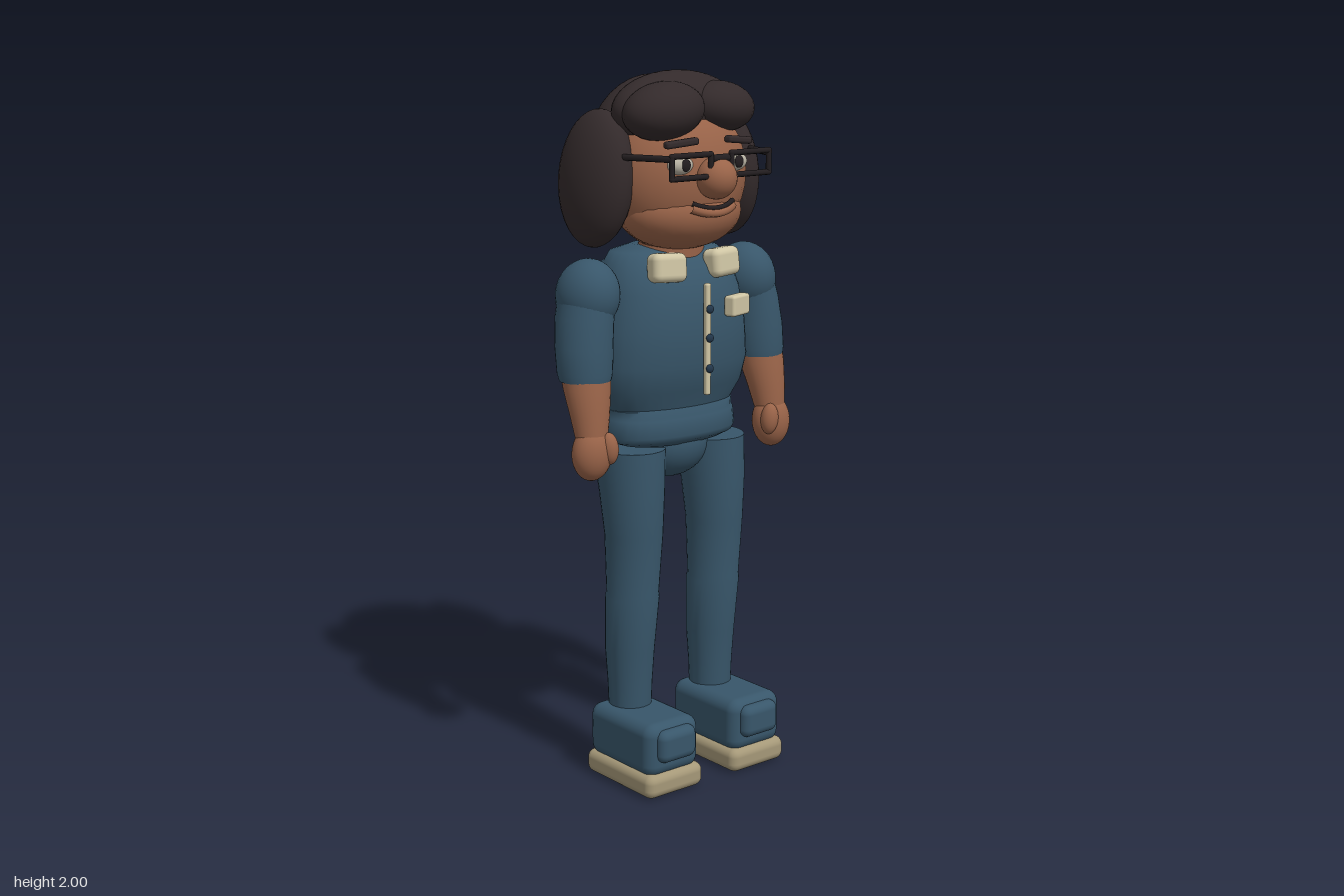
import * as THREE from 'three';
import { toCreasedNormals } from 'three/addons/utils/BufferGeometryUtils.js';
import { RoundedBoxGeometry } from 'three/addons/geometries/RoundedBoxGeometry.js';

const material = (name, color) => {
  const m = new THREE.MeshStandardMaterial({ color });
  m.name = name;
  return m;
};

export function createModel() {
  const root = new THREE.Group();
  root.name = 'standingMan';
  const skin = material('skin', 0x9a6449);
  const hair = material('hair', 0x332a2b);
  const cloth = material('blueCloth', 0x38566a);
  const cream = material('creamTrim', 0xcfc5a4);
  const sole = material('soleTan', 0xa59878);
  const frame = material('glassesBlack', 0x231e20);
  const button = material('darkBlueButton', 0x22364a);
  const eye = material('eyeGrey', 0xb9b3a4);

  const add = (name, geometry, mat, pos = [0, 0, 0], rot = [0, 0, 0], parent = root) => {
    const mesh = new THREE.Mesh(geometry, mat);
    mesh.name = name;
    mesh.position.set(...pos);
    mesh.rotation.set(...rot);
    parent.add(mesh);
    return mesh;
  };
  const ball = (name, mat, pos, radii, rot, parent) =>
    add(name, new THREE.SphereGeometry(1, 28, 18).scale(...radii), mat, pos, rot, parent);
  const block = (name, mat, pos, size, radius, rot, parent) =>
    add(name, new RoundedBoxGeometry(...size, 3, radius), mat, pos, rot, parent);
  const rod = (name, mat, a, b, radius, parent) => {
    const line = new THREE.LineCurve3(new THREE.Vector3(...a), new THREE.Vector3(...b));
    return add(name, new THREE.TubeGeometry(line, 1, radius, 8), mat, [0, 0, 0], [0, 0, 0], parent);
  };

  // Capped tube through oval sections, listed top to bottom: [y, centreX, centreZ, radiusX, radiusZ]
  const loft = (name, mat, sections, power = 1, parent = root) => {
    const rows = sections.length - 1;
    const g = new THREE.CylinderGeometry(1, 1, 1, 28, rows);
    const p = g.attributes.position;
    const round = (v) => Math.sign(v) * Math.abs(v) ** power;
    for (let i = 0; i < p.count; i++) {
      const [y, cx, cz, rx, rz] = sections[Math.round((0.5 - p.getY(i)) * rows)];
      p.setXYZ(i, cx + round(p.getX(i)) * rx, y, cz + round(p.getZ(i)) * rz);
    }
    return add(name, toCreasedNormals(g, 0.9), mat, undefined, undefined, parent);
  };

  // Shirt, with a padded yoke over the shoulder blades
  loft('shirt', cloth, [
    [1.525, 0, -0.04, 0.1, 0.07], [1.51, 0, -0.04, 0.17, 0.1], [1.47, 0, -0.03, 0.2, 0.125],
    [1.4, 0, -0.018, 0.218, 0.147], [1.3, 0, -0.014, 0.237, 0.152], [1.2, 0, -0.012, 0.246, 0.148],
    [1.13, 0, -0.015, 0.235, 0.13], [1.08, 0, -0.018, 0.205, 0.11], [1.04, 0, -0.018, 0.18, 0.1],
  ], 0.9);
  ball('backYoke', cloth, [0, 1.435, -0.07], [0.215, 0.085, 0.105]);
  loft('neck', skin, [[1.6, 0, 0, 0.09, 0.08], [1.49, 0, -0.01, 0.1, 0.085]]);
  block('placket', cream, [0, 1.275, 0.149], [0.018, 0.31, 0.018], 0.006);
  for (const y of [1.36, 1.28, 1.195]) ball('button', button, [0, y, 0.161], [0.012, 0.012, 0.008]);
  block('chestPocket', cream, [0.12, 1.357, 0.135], [0.085, 0.058, 0.035], 0.008, [0, 0.3, 0]);

  // Waistband and pelvis
  loft('waistband', cloth, [
    [1.09, 0, -0.018, 0.18, 0.1], [1.075, 0, -0.018, 0.203, 0.112], [1.055, 0, -0.018, 0.202, 0.112],
    [1.048, 0, -0.018, 0.207, 0.116], [1.0, 0, -0.018, 0.212, 0.12], [0.985, 0, -0.018, 0.205, 0.114],
    [0.972, 0, -0.018, 0.17, 0.095],
  ], 0.85);
  ball('pelvis', cloth, [0, 0.965, -0.025], [0.125, 0.107, 0.108]);

  // Mirrored limbs, shoes and collar
  for (const s of [-1, 1]) {
    const side = new THREE.Group();
    side.name = s > 0 ? 'leftSide' : 'rightSide';
    root.add(side);
    const mx = (rows) => rows.map(([y, x, ...rest]) => [y, s * x, ...rest]);

    loft('trouserLeg', cloth, mx([
      [0.965, 0.145, -0.018, 0.098, 0.113], [0.85, 0.148, 0.0, 0.09, 0.098], [0.72, 0.148, 0.008, 0.081, 0.086],
      [0.55, 0.149, 0.003, 0.073, 0.077], [0.535, 0.149, 0.001, 0.076, 0.08], [0.38, 0.15, -0.01, 0.069, 0.074],
      [0.28, 0.15, -0.01, 0.063, 0.066], [0.17, 0.15, -0.01, 0.06, 0.06],
    ]), 1, side);
    block('shoe', cloth, [s * 0.154, 0.138, 0.058], [0.186, 0.155, 0.285], 0.035, [0, 0, 0], side);
    block('toeCap', cloth, [s * 0.153, 0.152, 0.185], [0.13, 0.094, 0.078], 0.025, [0, 0, 0], side);
    block('sole', sole, [s * 0.154, 0.039, 0.06], [0.2, 0.07, 0.3], 0.025, [0, 0, 0], side);

    ball('shoulder', cloth, [s * 0.282, 1.405, -0.018], [0.085, 0.1, 0.095], [0, 0, s * 0.15], side);
    loft('sleeve', cloth, mx([
      [1.44, 0.282, -0.02, 0.072, 0.08], [1.35, 0.298, -0.012, 0.078, 0.085], [1.27, 0.308, -0.002, 0.08, 0.08],
      [1.2, 0.312, 0.006, 0.077, 0.075], [1.18, 0.313, 0.009, 0.072, 0.07],
    ]), 1, side);
    loft('forearm', skin, mx([
      [1.22, 0.312, 0.005, 0.07, 0.068], [1.16, 0.316, 0.02, 0.067, 0.062], [1.09, 0.32, 0.037, 0.056, 0.052],
      [1.03, 0.323, 0.048, 0.046, 0.043],
    ]), 1, side);
    ball('hand', skin, [s * 0.325, 0.987, 0.053], [0.059, 0.077, 0.05], [0, 0, s * 0.08], side);
    ball('thumb', skin, [s * 0.291, 1.0, 0.085], [0.026, 0.045, 0.025], [0, 0, s * -0.1], side);
    block('collar', cream, [s * 0.097, 1.475, 0.094], [0.105, 0.08, 0.062], 0.02, [-0.1, s * 0.15, s * 0.05], side);
  }

  // Head: skull, jaw, nose and mouth
  const head = new THREE.Group();
  head.name = 'head';
  root.add(head);
  ball('face', skin, [0, 1.72, 0.01], [0.216, 0.215, 0.165], undefined, head);
  ball('jaw', skin, [0, 1.618, 0.035], [0.185, 0.105, 0.137], undefined, head);
  ball('nose', skin, [0, 1.718, 0.184], [0.058, 0.057, 0.056], undefined, head);
  const smile = (y, z) => new THREE.QuadraticBezierCurve3(
    new THREE.Vector3(-0.072, y + 0.012, z - 0.015), new THREE.Vector3(0, y - 0.018, z + 0.015),
    new THREE.Vector3(0.072, y + 0.012, z - 0.015));
  add('mouthLine', new THREE.TubeGeometry(smile(1.641, 0.183), 14, 0.007, 8), frame, undefined, undefined, head);
  add('lowerLip', new THREE.TubeGeometry(smile(1.627, 0.183), 14, 0.012, 8), skin, undefined, undefined, head);

  // Eyes, brows and glasses
  for (const s of [-1, 1]) {
    ball('eyeball', eye, [s * 0.095, 1.755, 0.148], [0.04, 0.026, 0.025], undefined, head);
    ball('pupil', frame, [s * 0.093, 1.756, 0.17], [0.015, 0.017, 0.007], undefined, head);
    block('brow', hair, [s * 0.1, 1.814, 0.158], [0.1, 0.02, 0.026], 0.008, [0, s * 0.2, s * -0.1], head);
    const [x0, x1, y0, y1, z] = [s * 0.036, s * 0.17, 1.726, 1.785, 0.204];
    const corners = [[x0, y0, z], [x1, y0, z], [x1, y1, z], [x0, y1, z]];
    corners.forEach((c, i) => {
      rod('lensRim', frame, c, corners[(i + 1) % 4], 0.008, head);
      ball('rimCorner', frame, c, [0.008, 0.008, 0.008], undefined, head);
    });
    rod('temple', frame, [x1, 1.778, z], [s * 0.228, 1.778, 0.05], 0.009, head);
  }
  rod('bridge', frame, [-0.036, 1.772, 0.198], [0.036, 1.772, 0.198], 0.011, head);

  // Hair: back mass, side puffs and swept fringe
  ball('backHair', hair, [0, 1.765, -0.085], [0.2, 0.22, 0.158], undefined, head);
  ball('crown', hair, [-0.01, 1.892, 0.025], [0.208, 0.107, 0.105], undefined, head);
  for (const s of [-1, 1])
    ball('sidePuff', hair, [s * 0.222, 1.713, -0.055], [0.08, 0.187, 0.135], [0, 0, s * 0.1], head);
  ball('rightFringe', hair, [-0.105, 1.895, 0.09], [0.122, 0.078, 0.092], [0, 0, 0.12], head);
  ball('leftFringe', hair, [0.09, 1.9, 0.085], [0.108, 0.07, 0.088], [0, 0, -0.1], head);

  return root;
}
